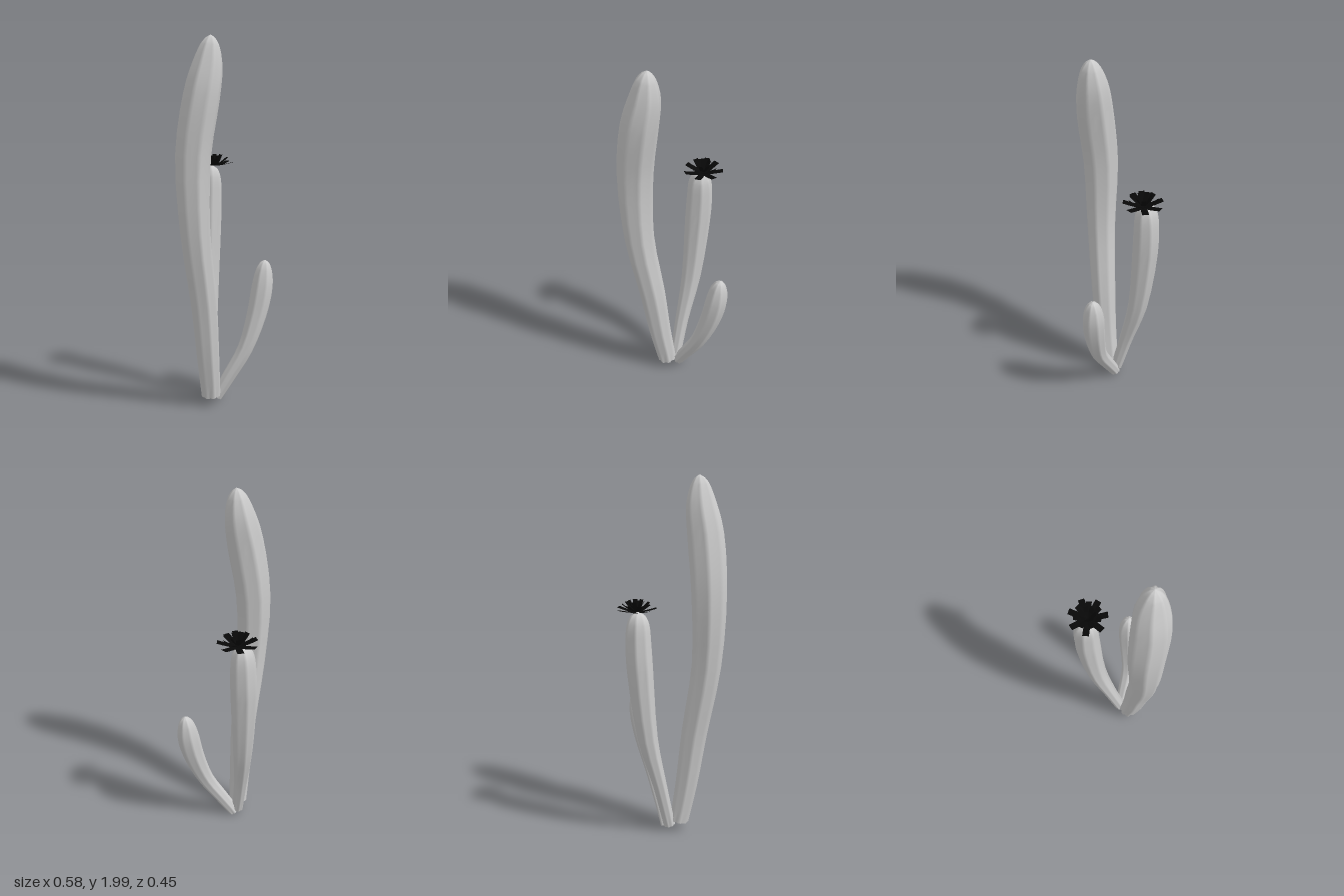
import * as THREE from 'three';

const grey = new THREE.MeshStandardMaterial({ color: 0xcccccc });
const black = new THREE.MeshStandardMaterial({ color: 0x080808, side: THREE.DoubleSide });

const RIBS = 8, SIDES = RIBS * 3, STEPS = 3;

// Ribbed stem lofted along a path; each key is [x, y, z, radius]
function createStem(name, keys, phase) {
  const path = new THREE.CatmullRomCurve3(keys.map(k => new THREE.Vector3(k[0], k[1], k[2])));
  const girth = new THREE.CatmullRomCurve3(keys.map(k => new THREE.Vector3(k[3], k[1], 0)));
  const rings = (keys.length - 1) * STEPS;
  const up = new THREE.Vector3(0, 1, 0), turn = new THREE.Quaternion();
  const pos = [], index = [];

  const addRing = (t) => {
    const centre = path.getPoint(t), r = girth.getPoint(t).x;
    turn.setFromUnitVectors(up, path.getTangent(t));
    for (let i = 0; i < SIDES; i++) {
      // One valley and two shoulders per rib
      const a = phase + (Math.floor(i / 3) + [0, 0.34, 0.66][i % 3]) / RIBS * Math.PI * 2;
      const rr = r * (i % 3 === 0 ? 0.86 : 1);
      const p = new THREE.Vector3(Math.cos(a) * rr, 0, Math.sin(a) * rr);
      p.applyQuaternion(turn).add(centre);
      pos.push(p.x, p.y, p.z);
    }
  };
  for (let j = 0; j <= rings; j++) addRing(j / rings);

  for (let j = 0; j < rings; j++) {
    for (let i = 0; i < SIDES; i++) {
      const a = j * SIDES + i, b = j * SIDES + (i + 1) % SIDES;
      const c = a + SIDES, d = b + SIDES;
      index.push(a, c, b, b, c, d);
    }
  }
  // Tip
  const tip = pos.length / 3;
  pos.push(...path.getPoint(1).toArray());
  for (let i = 0; i < SIDES; i++) {
    index.push(tip, rings * SIDES + (i + 1) % SIDES, rings * SIDES + i);
  }
  // Flat base with its own vertices so the rim stays sharp
  const base = pos.length / 3;
  addRing(0);
  pos.push(...path.getPoint(0).toArray());
  for (let i = 0; i < SIDES; i++) index.push(base + SIDES, base + i, base + (i + 1) % SIDES);

  const geo = new THREE.BufferGeometry();
  geo.setAttribute('position', new THREE.Float32BufferAttribute(pos, 3));
  geo.setIndex(index);
  geo.computeVertexNormals();
  const mesh = new THREE.Mesh(geo, grey);
  mesh.name = name;
  return mesh;
}

// Thin strip petal running along +x and curling upwards
function createPetal({ name, length, rise, width }) {
  const geo = new THREE.PlaneGeometry(length, width, 4, 1);
  geo.rotateX(-Math.PI / 2);
  geo.translate(length / 2, 0, 0);
  const p = geo.attributes.position;
  for (let i = 0; i < p.count; i++) {
    const along = Math.max(0, p.getX(i) / length);
    p.setY(i, rise * along ** 1.6);
  }
  geo.computeVertexNormals();
  const petal = new THREE.Mesh(geo, black);
  petal.name = name;
  return petal;
}

// Three layers of seven petals, steeper towards the middle
function createFlower() {
  const flower = new THREE.Group();
  flower.name = 'flower';
  const layers = [
    { name: 'outerPetal', length: 0.104, rise: 0.02, width: 0.034, y: 0, start: 0.12 },
    { name: 'middlePetal', length: 0.075, rise: 0.042, width: 0.03, y: 0.003, start: 0.55 },
    { name: 'innerPetal', length: 0.042, rise: 0.055, width: 0.024, y: 0.005, start: 0.2 },
  ];
  for (const layer of layers) {
    for (let i = 0; i < 7; i++) {
      const petal = createPetal(layer);
      petal.position.y = layer.y;
      petal.rotation.y = -(layer.start + i / 7 * Math.PI * 2);
      flower.add(petal);
    }
  }
  return flower;
}

export function createModel() {
  const cactus = new THREE.Group();
  cactus.name = 'cactus';

  cactus.add(createStem('tallStem', [
    [-0.045, 0.06, 0.015, 0.053],
    [-0.085, 0.3, 0.027, 0.062],
    [-0.125, 0.6, 0.033, 0.071],
    [-0.19, 1.0, 0.029, 0.08],
    [-0.2, 1.4, 0.026, 0.094],
    [-0.17, 1.7, 0.058, 0.096],
    [-0.142, 1.85, 0.072, 0.08],
    [-0.132, 1.95, 0.081, 0.05],
    [-0.129, 1.985, 0.083, 0.026],
    [-0.128, 2.0, 0.084, 0.004],
  ], 0.15));

  cactus.add(createStem('floweringStem', [
    [0.005, 0.04, -0.018, 0.033],
    [0.045, 0.3, -0.068, 0.039],
    [0.098, 0.6, -0.12, 0.055],
    [0.13, 1.0, -0.146, 0.07],
    [0.137, 1.15, -0.147, 0.068],
    [0.138, 1.25, -0.144, 0.059],
    [0.139, 1.295, -0.14, 0.038],
    [0.14, 1.315, -0.138, 0.004],
  ], 0.3));

  cactus.add(createStem('shortStem', [
    [0.025, 0.025, -0.003, 0.033],
    [0.075, 0.15, 0.052, 0.038],
    [0.137, 0.3, 0.112, 0.044],
    [0.2, 0.5, 0.146, 0.057],
    [0.23, 0.65, 0.158, 0.06],
    [0.24, 0.74, 0.161, 0.045],
    [0.244, 0.78, 0.163, 0.025],
    [0.245, 0.795, 0.164, 0.004],
  ], 0.2));

  const flower = createFlower();
  flower.position.set(0.153, 1.31, -0.123);
  cactus.add(flower);
  return cactus;
}
